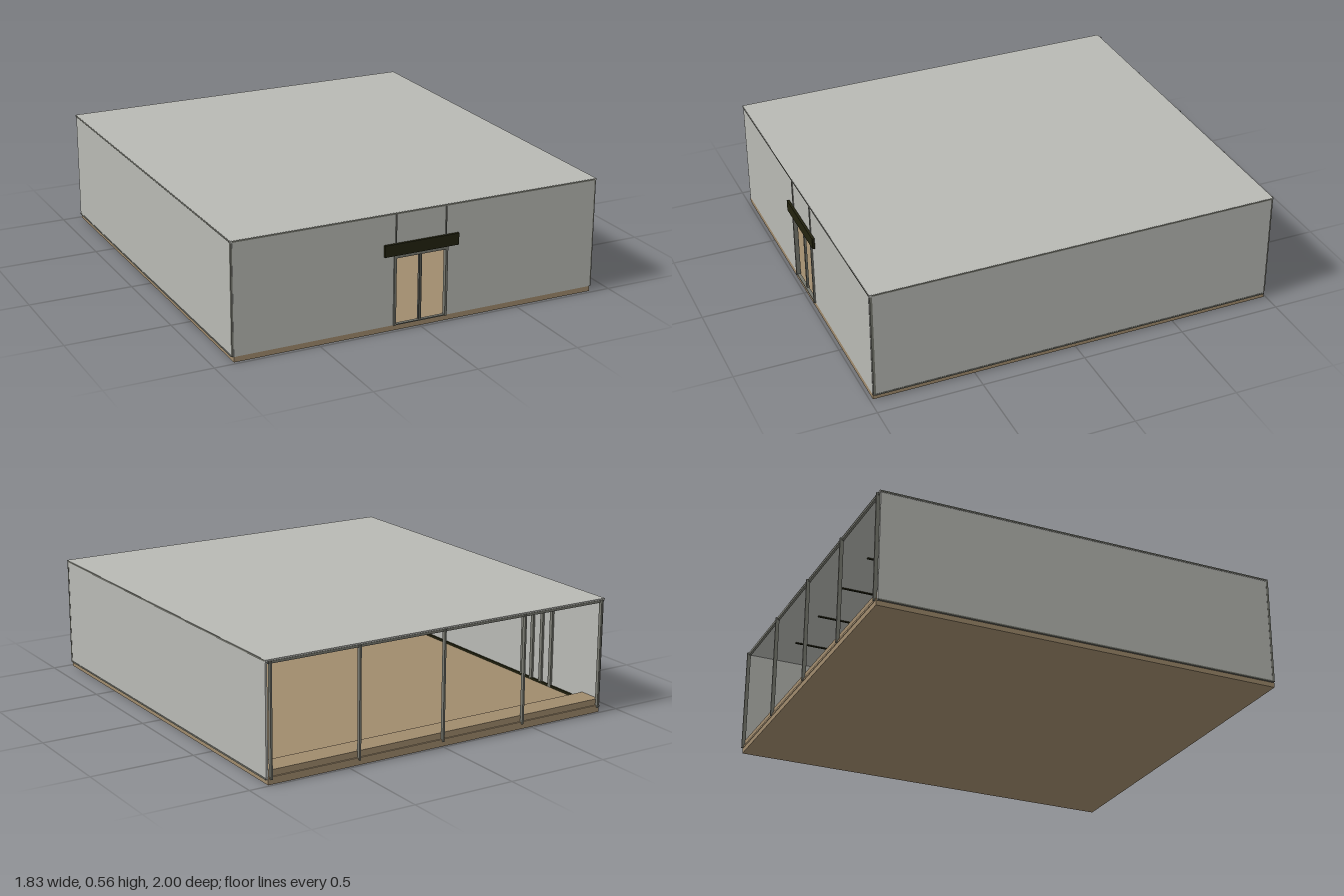
import * as THREE from 'three';

const mat = (name, color) => {
  const m = new THREE.MeshStandardMaterial({ color });
  m.name = name;
  return m;
};

export function createModel() {
  const wall = mat('pale grey cladding', 0xb8b9b4);
  const wood = mat('tan floor', 0xa08b6d);
  const frame = mat('grey frame', 0x77786f);
  const dark = mat('dark olive', 0x22220e);
  const model = new THREE.Group();
  model.name = 'pavilion';

  // Box given by its minimum and maximum on each axis
  const box = (name, material, [x0, x1], [y0, y1], [z0, z1], parent = model) => {
    const mesh = new THREE.Mesh(new THREE.BoxGeometry(x1 - x0, y1 - y0, z1 - z0), material);
    mesh.position.set((x0 + x1) / 2, (y0 + y1) / 2, (z0 + z1) / 2);
    mesh.name = name;
    parent.add(mesh);
    return mesh;
  };
  const group = (name) => {
    const g = new THREE.Group();
    g.name = name;
    model.add(g);
    return g;
  };
  const around = (c, w) => [c - w / 2, c + w / 2];

  // Floor slab and the raised sill along the open back
  box('floor', wood, [-0.903, 0.903], [0, 0.025], [-0.99, 0.985]);
  box('backSill', wood, [-0.9, 0.9], [0.025, 0.065], [-0.985, -0.87]);

  // Roof
  box('roof', wall, [-0.911, 0.911], [0.545, 0.556], [-0.99, 0.985]);

  // Side walls with base strips and edge trims
  for (const s of [-1, 1]) {
    const side = group(s > 0 ? 'leftSide' : 'rightSide');
    const span = (a, b) => (s > 0 ? [a, b] : [-b, -a]);
    box('sideWall', wall, span(0.9, 0.91), [0.025, 0.545], [-0.985, 0.975], side);
    box('baseStrip', dark, span(0.89, 0.9), [0.025, 0.035], [-0.87, 0.97], side);
    box('roofTrim', frame, span(0.908, 0.913), [0.548, 0.555], [-0.985, 0.975], side);
    box('baseTrim', frame, span(0.903, 0.912), [0.023, 0.03], [-0.985, 0.975], side);
    box('frontCorner', frame, span(0.903, 0.911), [0.025, 0.55], [0.972, 0.983], side);
  }

  // Front wall around the doorway
  const front = group('frontWall');
  box('frontPanelLeft', wall, [0.13, 0.903], [0.025, 0.55], [0.975, 0.985], front);
  box('frontPanelRight', wall, [-0.903, -0.13], [0.025, 0.55], [0.975, 0.985], front);
  box('panelOverDoor', wall, [-0.13, 0.13], [0.355, 0.55], [0.975, 0.985], front);
  box('frontTopTrim', frame, [-0.903, 0.903], [0.548, 0.555], [0.98, 0.987], front);

  // Door frame and the two open-framed leaves
  const door = group('door');
  for (const s of [-1, 1]) {
    box('seamStrip', frame, around(s * 0.125, 0.005), [0.355, 0.548], [0.98, 0.99], door);
    box('doorJamb', frame, around(s * 0.129, 0.011), [0.025, 0.355], [0.972, 0.993], door);
    box('leafEdge', frame, around(s * 0.005, 0.005), [0.025, 0.35], [0.974, 0.984], door);
  }
  box('doorHeader', frame, [-0.135, 0.135], [0.345, 0.357], [0.972, 0.993], door);
  box('doorSill', frame, [-0.125, 0.125], [0.025, 0.03], [0.974, 0.99], door);

  // Dark board over the door
  box('doorBoard', dark, [-0.185, 0.185], [0.36, 0.415], [0.988, 1]);

  // Posts and rails across the open back
  const back = group('backFrame');
  for (let i = -2; i <= 2; i++) {
    box('backPost', frame, around(i * 0.445, 0.009), [0.025, 0.55], [-1, -0.982], back);
  }
  box('backTopRail', frame, [-0.9, 0.9], [0.538, 0.55], [-0.992, -0.98], back);
  box('backBottomRail', wood, [-0.9, 0.9], [0.025, 0.035], [-0.992, -0.98], back);

  // Narrow ceiling strips
  for (let i = -2; i <= 2; i++) {
    box('ceilingStrip', dark, around(i * 0.33, 0.008), [0.539, 0.545], [-0.82, 0.82]);
  }

  // Slim uprights on the inner face of one side wall
  for (let i = 0; i < 4; i++) {
    box('wallUpright', frame, [-0.9, -0.89], [0.025, 0.545], around(-0.63 + i * 0.073, 0.02));
  }
  return model;
}
